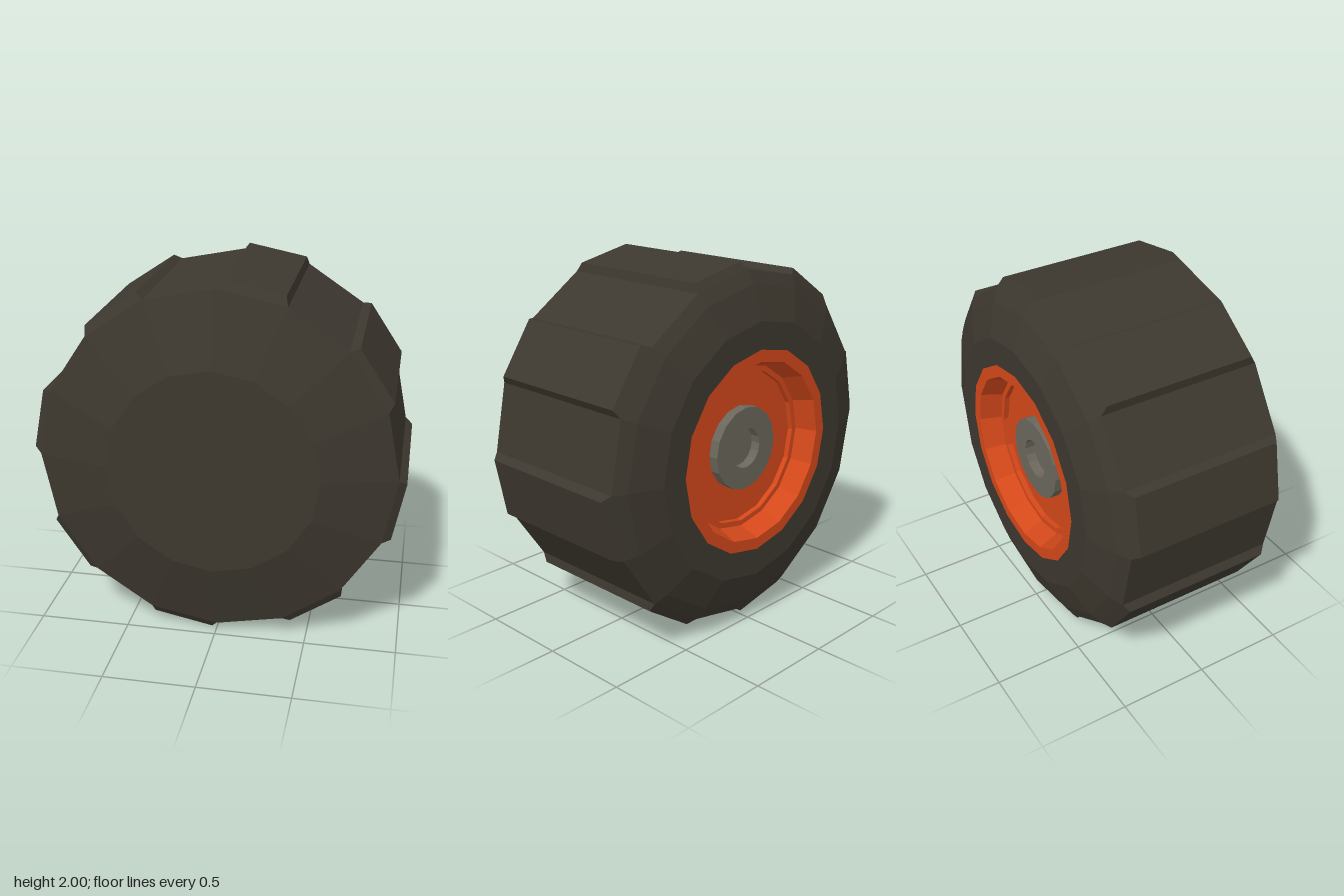
import * as THREE from 'three';

const SIDES = 16;
const RADIUS = 0.96;

// Faceted solid of revolution about z; profile points are [radius, z], traced from back to front
function revolve(name, profile, material) {
  const points = profile.map(([r, z]) => new THREE.Vector2(r, z));
  const geometry = new THREE.LatheGeometry(points, SIDES).rotateX(Math.PI / 2);
  const mesh = new THREE.Mesh(geometry, material);
  mesh.name = name;
  return mesh;
}

function flat(color) {
  return new THREE.MeshStandardMaterial({ color, flatShading: true });
}

// Bevelled block that covers one facet of the tyre
function treadGeometry() {
  const half = Math.PI / SIDES;
  const geometry = new THREE.BoxGeometry(2 * RADIUS * Math.sin(half), 0.045, 0.9);
  const pos = geometry.attributes.position;
  for (let i = 0; i < pos.count; i++) {
    if (pos.getY(i) > 0) {
      pos.setX(i, Math.sign(pos.getX(i)) * 0.166);
      pos.setZ(i, Math.sign(pos.getZ(i)) * 0.42);
    }
  }
  return geometry.translate(0, RADIUS * Math.cos(half) + 0.0225, 0);
}

export function createModel() {
  const model = new THREE.Group();
  model.name = 'wheel';
  const rubber = flat(0x3d382f);
  const orange = flat(0xd4481a);
  const metal = flat(0x6b675c);

  // Tyre: rounded back shoulder, plain closed front
  const wheel = new THREE.Group();
  wheel.name = 'wheelAssembly';
  wheel.position.y = 1;
  wheel.add(revolve('tyre', [
    [0.56, -0.556], [0.71, -0.556], [0.89, -0.492], [RADIUS, -0.45],
    [RADIUS, 0.45], [0.57, 0.556], [0, 0.556],
  ], rubber));

  // Recessed rim with a stepped floor
  wheel.add(revolve('rim', [
    [0.2, -0.41], [0.425, -0.41], [0.425, -0.44], [0.455, -0.44],
    [0.495, -0.556], [0.56, -0.556],
  ], orange));

  // Hub with a blind axle hole
  wheel.add(revolve('hub', [
    [0, -0.41], [0.11, -0.41], [0.11, -0.465], [0.23, -0.465], [0.23, -0.41],
  ].map(([r, z]) => [r, z]), metal));

  // Raised treads on every other facet
  const geometry = treadGeometry();
  for (let i = 0; i < SIDES / 2; i++) {
    const tread = new THREE.Mesh(geometry, rubber);
    tread.name = 'tread' + (i + 1);
    tread.rotation.z = -Math.PI / SIDES + (i * 4 * Math.PI) / SIDES;
    wheel.add(tread);
  }

  model.add(wheel);
  return model;
}
